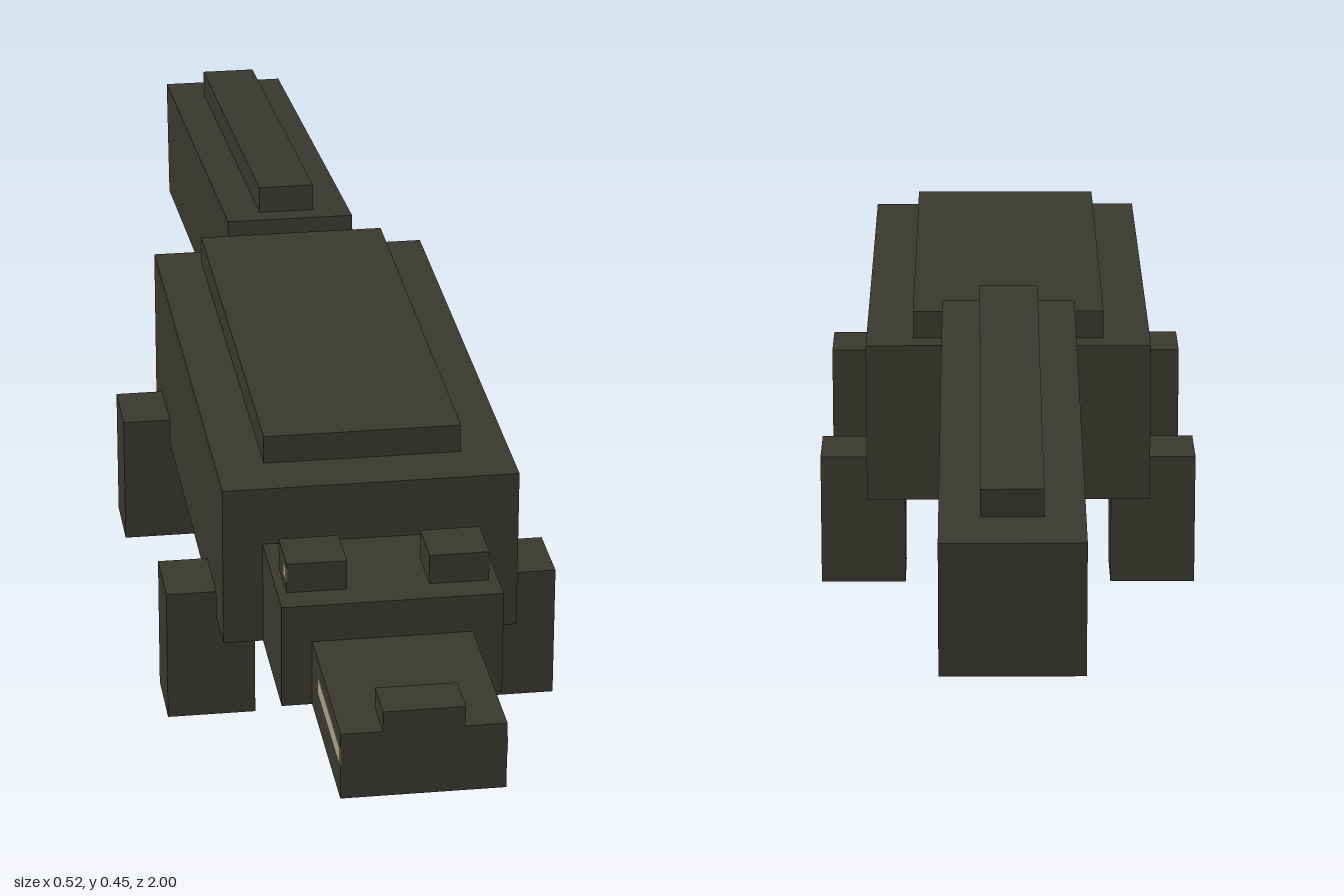
import * as THREE from 'three';

export function createModel() {
  const model = new THREE.Group();
  model.name = 'crocodile';

  const mat = (name, color) => {
    const m = new THREE.MeshStandardMaterial({ color });
    m.name = name;
    return m;
  };
  const hide = mat('dark hide', 0x3a3930);
  const belly = mat('belly', 0x857e6e);
  const ivory = mat('ivory', 0xaaa58c);
  // Box material slots: +x, -x, +y, -y, +z, -z
  const paleBelow = [hide, hide, hide, belly, hide, hide];

  // Box given by its min and max on each axis
  const box = (name, [x0, x1], [y0, y1], [z0, z1], material = hide, parent = model) => {
    const mesh = new THREE.Mesh(new THREE.BoxGeometry(x1 - x0, y1 - y0, z1 - z0), material);
    mesh.position.set((x0 + x1) / 2, (y0 + y1) / 2, (z0 + z1) / 2);
    mesh.name = name;
    parent.add(mesh);
    return mesh;
  };

  // Trunk and raised back plate
  box('body', [-0.194, 0.194], [0.145, 0.364], [-0.228, 0.572], paleBelow);
  box('backPlate', [-0.13, 0.13], [0.36, 0.402], [-0.19, 0.495]);

  // Head, snout and nostril bump
  box('head', [-0.142, 0.142], [0.145, 0.285], [0.57, 0.754]);
  box('snout', [-0.103, 0.103], [0.145, 0.234], [0.752, 1], paleBelow);
  box('nostrils', [-0.051, 0.051], [0.23, 0.261], [0.937, 1]);

  // Paired parts
  for (const [side, s] of [['left', 1], ['right', -1]]) {
    const span = (a, b) => (s > 0 ? [a, b] : [-b, -a]);
    box(side + 'FrontLeg', span(0.143, 0.26), [0, 0.182], [0.396, 0.496]);
    box(side + 'BackLeg', span(0.143, 0.26), [0, 0.182], [-0.15, -0.05]);
    box(side + 'EyeBump', span(0.053, 0.13), [0.283, 0.325], [0.64, 0.714]);
    box(side + 'Eye', span(0.128, 0.131), [0.299, 0.318], [0.69, 0.713], ivory);
    box(side + 'Teeth', span(0.102, 0.104), [0.19, 0.214], [0.808, 0.999], ivory);
  }

  // Tail, hinged at its upper front edge and sloping down
  const tail = new THREE.Group();
  tail.name = 'tail';
  tail.position.set(0, 0.42, -0.2);
  tail.rotation.x = -0.106;
  model.add(tail);
  box('tailBody', [-0.09, 0.09], [-0.177, 0], [-0.804, 0], paleBelow, tail);
  box('tailRidge', [-0.039, 0.039], [-0.005, 0.037], [-0.727, -0.04], hide, tail);

  return model;
}
